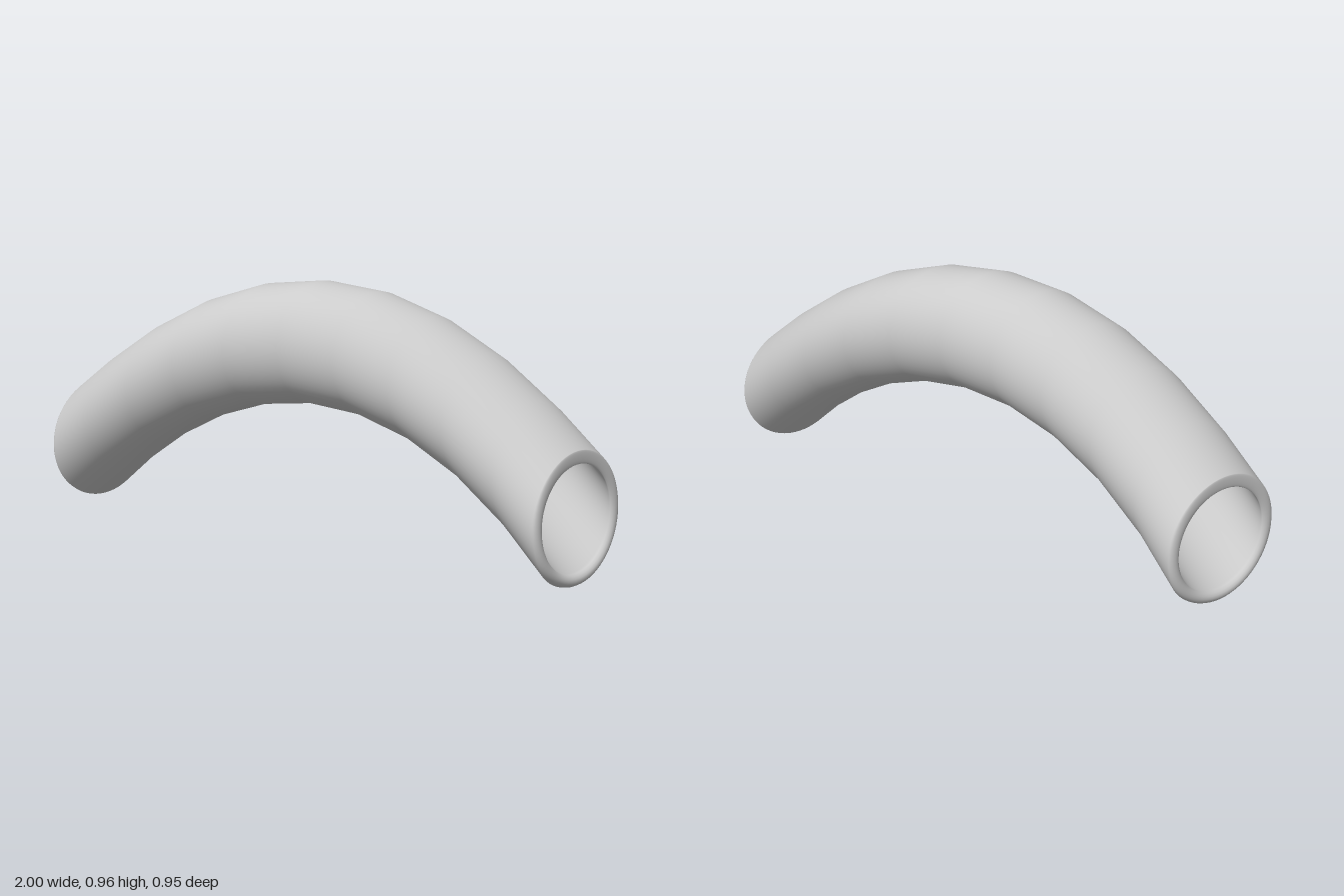
import * as THREE from 'three';

const SIDES = 64, END = 0.972;

// centre line of the bent pipe: an arch that also sways from +z to -z
function centre(x) {
  const a = x * Math.PI / 2;
  const drop = 0.027 * Math.max(0, x) ** 3;
  return [0.243 + 0.5 * Math.cos(a) - drop, -0.24 * Math.sin(a)];
}

// closed lengthwise profile: outer wall, rounded lip, inner wall, rounded lip
function buildProfile() {
  const xs = [-END, -0.8, -0.6, -0.4, -0.2, 0, 0.2, 0.4, 0.6, 0.8, END];
  const lip = (side) => [1, 2, 3, 4, 5, 6, 7].map((k) => {
    const t = k / 8 * Math.PI;
    return { x: side * END, r: 0.2137 + side * 0.0238 * Math.cos(t), bulge: side * Math.sin(t) };
  });
  const outer = xs.map((x) => ({ x, r: 0.2225 + 0.015 * (x / END) ** 4, bulge: 0 }));
  const inner = xs.map((x) => ({ x: -x, r: 0.19, bulge: 0 }));
  return [...outer, ...lip(1), ...inner, ...lip(-1)];
}

function buildPipe() {
  const profile = buildProfile(), n = profile.length;
  const positions = [], index = [];
  profile.forEach(({ x, r, bulge }, i) => {
    const [cy, cz] = centre(x);
    for (let j = 0; j < SIDES; j++) {
      const a = j / SIDES * Math.PI * 2;
      // the lip swells more at the bottom than at the top
      const depth = 0.0155 - 0.0125 * Math.sin(a);
      positions.push(x + bulge * depth, cy + r * Math.sin(a), cz + r * Math.cos(a));
      const i2 = (i + 1) % n, j2 = (j + 1) % SIDES;
      const p = i * SIDES + j, q = i2 * SIDES + j, s = i2 * SIDES + j2, t = i * SIDES + j2;
      index.push(p, q, t, q, s, t);
    }
  });
  const geometry = new THREE.BufferGeometry();
  geometry.setAttribute('position', new THREE.Float32BufferAttribute(positions, 3));
  geometry.setIndex(index);
  geometry.computeVertexNormals();
  return geometry;
}

export function createModel() {
  const group = new THREE.Group();
  group.name = 'bentPipe';
  const pipe = new THREE.Mesh(buildPipe(), new THREE.MeshStandardMaterial({ color: 0xcccccc }));
  pipe.name = 'pipeWall';
  group.add(pipe);
  return group;
}
